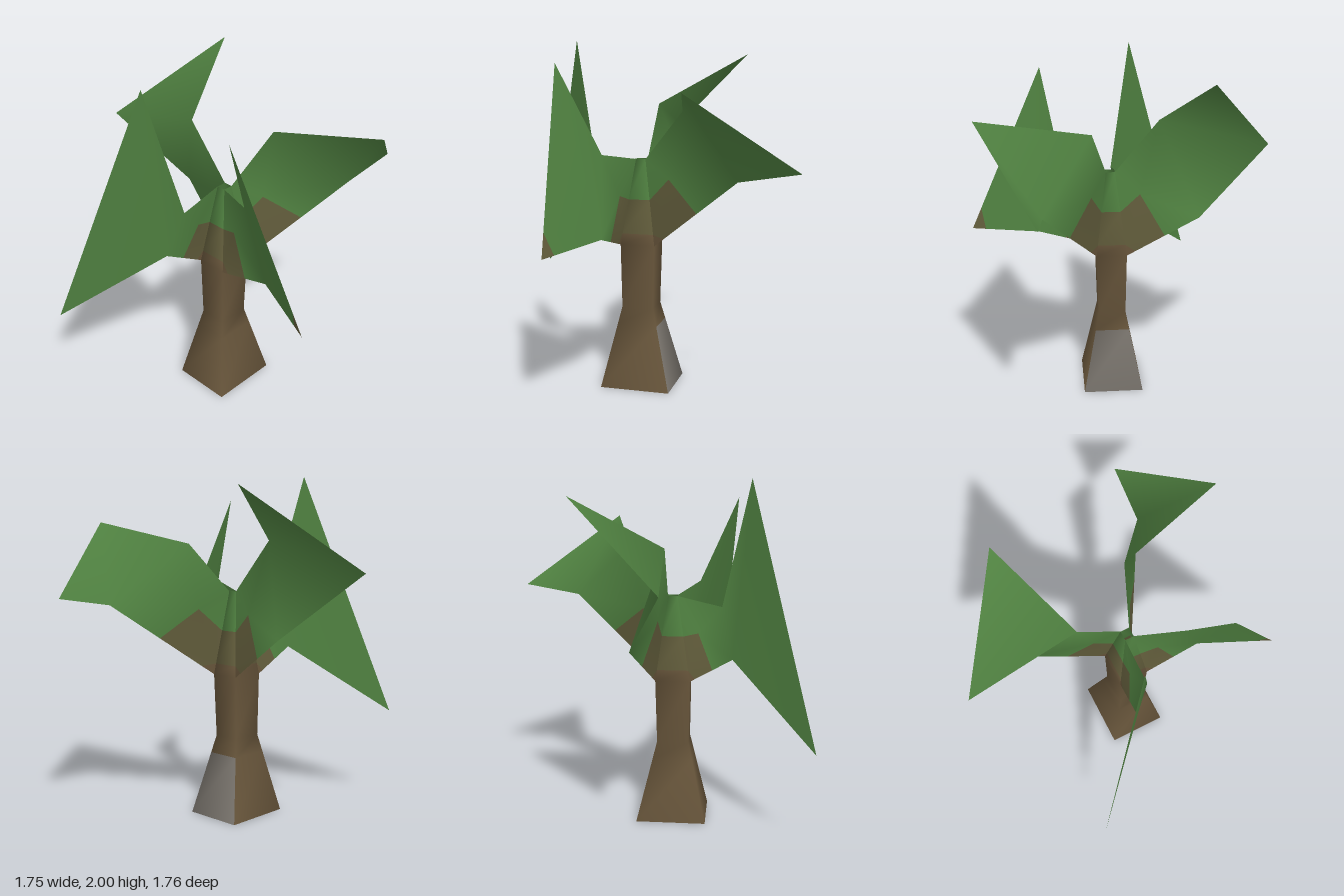
import * as THREE from 'three';

const flat = (name, color) => {
  const m = new THREE.MeshStandardMaterial({ color, side: THREE.DoubleSide });
  m.name = name;
  return m;
};

// Mesh from shared points; each entry of faces is [material, triangle indices]
function patchMesh(name, points, faces) {
  const geo = new THREE.BufferGeometry();
  geo.setAttribute('position', new THREE.Float32BufferAttribute(points.flat(), 3));
  const index = [];
  for (const [i, tris] of faces.entries()) {
    geo.addGroup(index.length, tris[1].length, i);
    index.push(...tris[1]);
  }
  geo.setIndex(index);
  geo.computeVertexNormals();
  const mesh = new THREE.Mesh(geo, faces.map((f) => f[0]));
  mesh.name = name;
  return mesh;
}

const mix = (a, b, t) => a.map((v, i) => v + (b[i] - v) * t);

export function createModel() {
  const group = new THREE.Group();
  group.name = 'tree';
  const wood = flat('wood brown', 0x66543a);
  const olive = flat('olive bark', 0x615c3b);
  const green = flat('leaf green', 0x4f8040);
  const grey = flat('stone grey', 0x77726b);

  // Square trunk sections: corners in order front +x, back +x, back -x, front -x
  const ring = (y, x0, x1, z0, z1) => [[x1, y, z1], [x1, y, z0], [x0, y, z0], [x0, y, z1]];
  const blend = (a, b, t) => a.map((p, i) => mix(p, b[i], t));
  const base = ring(0, -0.135, 0.215, -0.125, 0.28);
  const waist = ring(0.47, -0.04, 0.12, -0.01, 0.175);
  const neck = ring(0.84, -0.047, 0.13, -0.02, 0.18);
  const top = ring(1.33, 0.018, 0.07, 0.048, 0.104);
  const rings = [base, blend(base, waist, 0.78), waist, neck,
    blend(neck, top, 0.13), blend(neck, top, 0.53), top];

  // Open trunk, with a grey patch low on the back
  const bands = [wood, wood, wood, wood, olive, green];
  const tris = new Map([[wood, []], [olive, []], [green, []], [grey, []]]);
  bands.forEach((mat, r) => {
    for (let j = 0; j < 4; j++) {
      const a = r * 4 + j, b = r * 4 + (j + 1) % 4;
      tris.get(r === 0 && j === 1 ? grey : mat).push(a, b, b + 4, a, b + 4, a + 4);
    }
  });
  group.add(patchMesh('trunk', rings.flat(), [...tris]));

  // Leaves: one sheet from each trunk corner, widening to an upper and a lower tip
  const leaves = [
    { name: 'frontLeftLeaf', corner: 0, midTop: [0.33, 1.375, 0.22], midLow: [0.46, 0.93, 0.185],
      tipTop: [0.435, 1.87, 0.443], tipLow: [0.87, 0.9, 0.36], brownTip: true },
    { name: 'backLeftLeaf', corner: 1, midTop: [0.16, 1.61, -0.19], midLow: [0.435, 1.265, -0.55],
      tipTop: [0.78, 1.73, -0.333], tipLow: [0.455, 1.32, -0.88] },
    { name: 'backRightLeaf', corner: 2, midTop: [-0.235, 1.63, 0.05], midLow: [-0.45, 1.1, -0.12],
      tipTop: [-0.46, 1.92, -0.44], tipLow: [-0.875, 1.47, 0.077], flip: true },
    { name: 'frontRightLeaf', corner: 3, midTop: [0.02, 1.27, 0.36], midLow: [-0.065, 0.98, 0.425],
      tipTop: [-0.102, 2, 0.515], tipLow: [-0.505, 0.575, 0.88] },
  ];
  // Inner sheet positions: u runs outward, v runs up the trunk corner
  const uv = [[0, 0], [0.12, 0], [0, 0.13], [0.53, 0], [0.35, 0.55], [0, 0.53], [1, 0], [1, 1], [0, 1]];
  for (const l of leaves) {
    const low = neck[l.corner], high = top[l.corner];
    const pts = uv.map(([u, v]) => mix(mix(low, l.midLow, u), mix(high, l.midTop, u), v));
    // 9 upper tip, 10 lower tip, 11 and 12 the cut just before the lower tip
    pts.push(l.tipTop, l.tipLow, mix(l.tipLow, l.midLow, 0.2), mix(l.tipLow, l.tipTop, 0.13));
    const outer = l.flip ? [7, 10, 9, 7, 6, 10]
      : l.brownTip ? [6, 9, 7, 6, 11, 12, 6, 12, 9] : [6, 9, 7, 6, 10, 9];
    const oliveTris = [2, 1, 3, 2, 3, 4, 2, 4, 5];
    if (l.brownTip) oliveTris.push(11, 10, 12);
    group.add(patchMesh(l.name, pts, [
      [wood, [0, 1, 2]],
      [olive, oliveTris],
      [green, [4, 3, 6, 4, 6, 7, 4, 7, 8, 4, 8, 5, ...outer]],
    ]));
  }
  return group;
}
